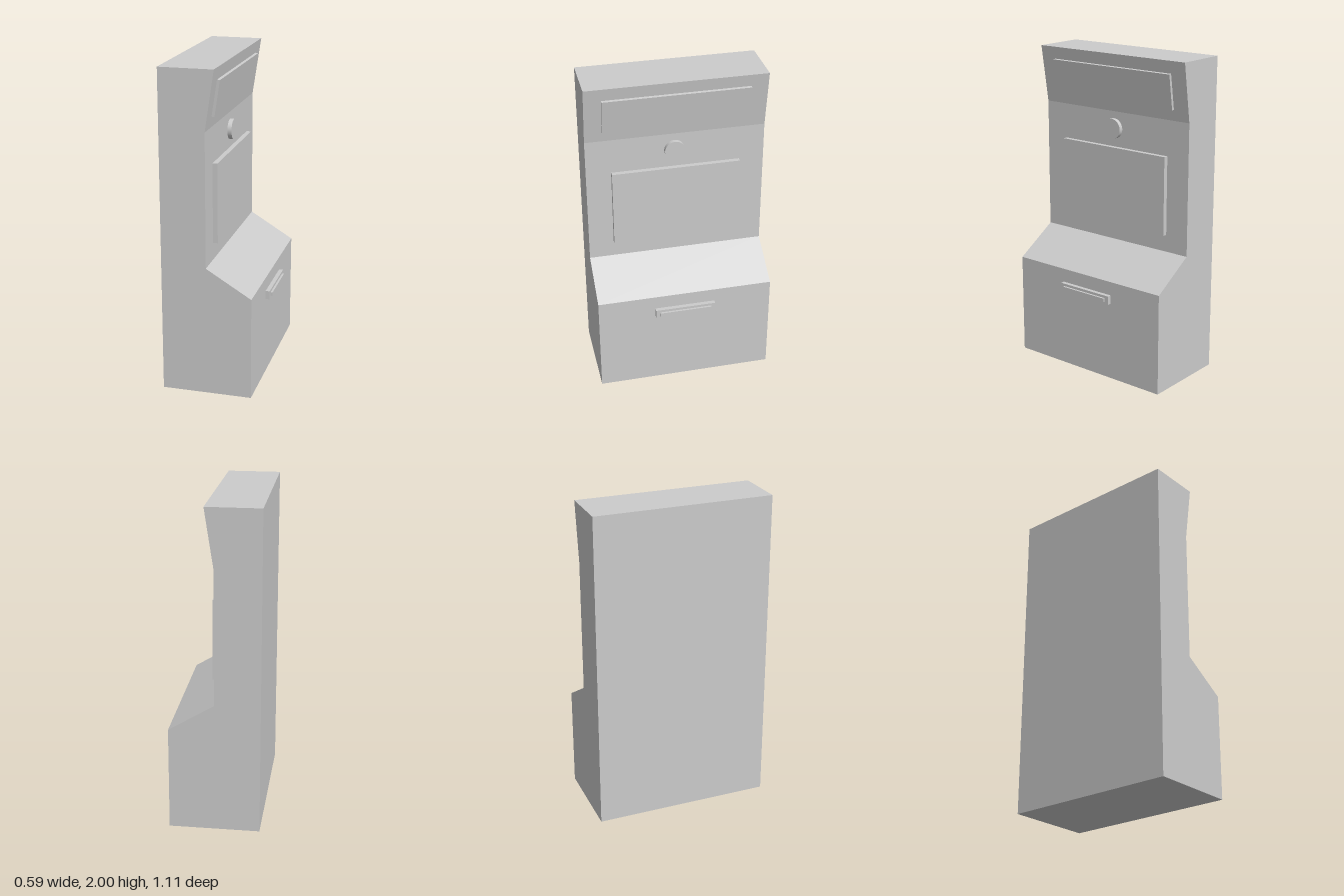
import * as THREE from 'three';

export function createModel() {
  const group = new THREE.Group();
  const material = new THREE.MeshStandardMaterial({ color: 0xcccccc });

  const add = (name, geometry, x, y, z) => {
    const mesh = new THREE.Mesh(geometry, material);
    mesh.name = name;
    mesh.position.set(x, y, z);
    group.add(mesh);
    return mesh;
  };

  // Box given by its lower and upper limits on each axis
  const addBox = (name, [x0, x1], [y0, y1], [z0, z1]) =>
    add(name, new THREE.BoxGeometry(x1 - x0, y1 - y0, z1 - z0),
      (x0 + x1) / 2, (y0 + y1) / 2, (z0 + z1) / 2);

  // Cabinet: side profile extruded across the width
  const width = 1.11;
  const profile = [
    [-0.297, 0], [0.258, 0], [0.258, 0.643], [-0.02, 0.812],
    [-0.02, 1.637], [0.036, 2], [-0.297, 2],
  ].map(([x, y]) => new THREE.Vector2(x, y));
  add('cabinet', new THREE.ExtrudeGeometry(new THREE.Shape(profile),
    { depth: width, bevelEnabled: false }), 0, 0, -width / 2);

  // Screen on the upright face
  addBox('screen', [-0.03, 0.01], [0.92, 1.415], [-0.4, 0.4]);

  // Sign panel, tilted to follow the overhanging top
  const sign = add('signPanel', new THREE.BoxGeometry(0.036, 0.219, 0.9), 0.007, 1.815, 0);
  sign.rotation.z = -Math.atan2(0.056, 0.363);

  // Round lens between screen and sign
  const lens = add('lens', new THREE.CylinderGeometry(0.063, 0.063, 0.036, 48), -0.012, 1.53, 0.008);
  lens.rotation.z = -Math.PI / 2;

  // Slot housing with its raised lip
  addBox('slotHousing', [0.25, 0.284], [0.502, 0.556], [-0.188, 0.194]);
  addBox('slotLip', [0.28, 0.297], [0.517, 0.54], [-0.162, 0.168]);

  return group;
}
